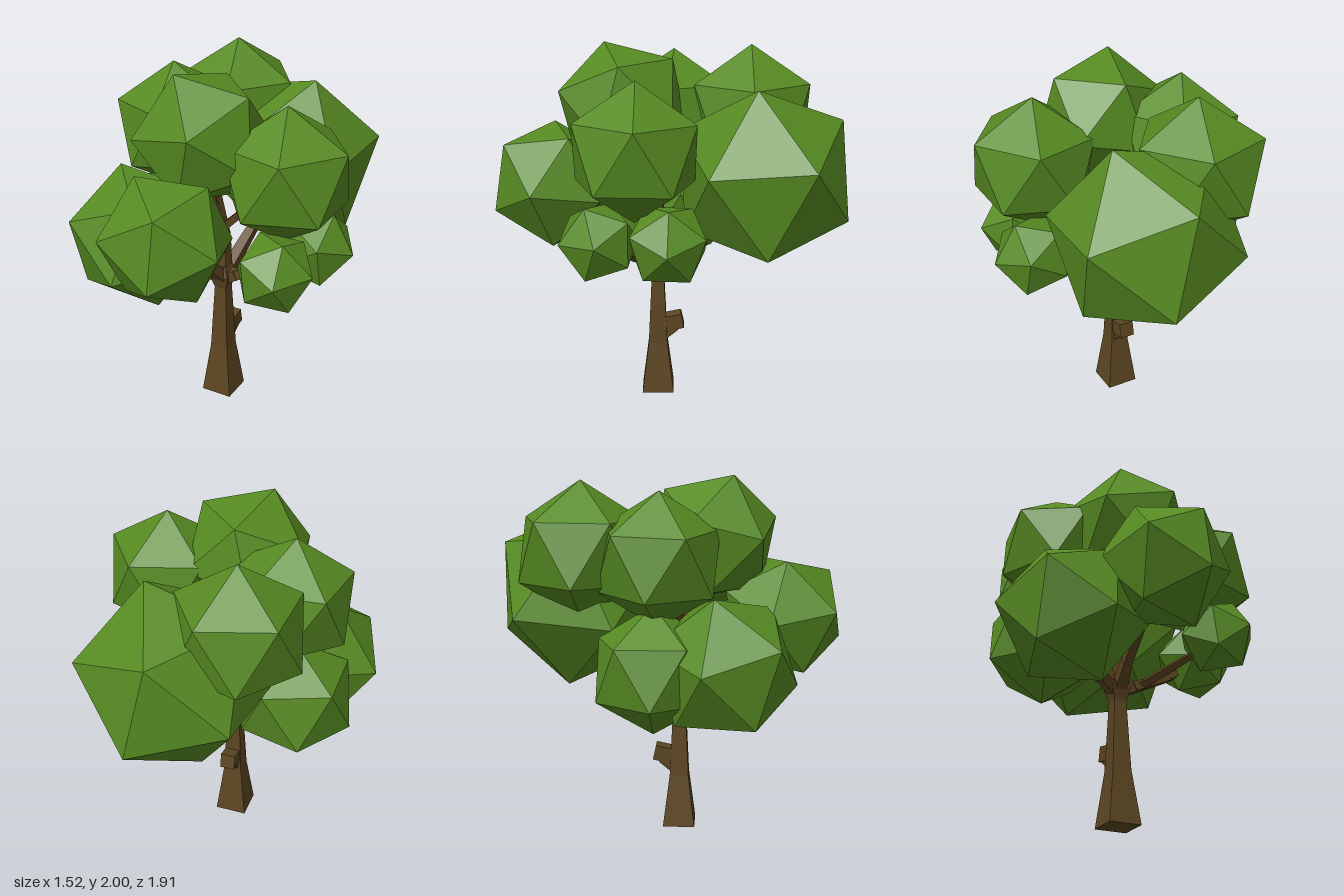
import * as THREE from 'three';

const bark = new THREE.MeshStandardMaterial({ color: 0x5c4521, flatShading: true });
const leaf = new THREE.MeshStandardMaterial({ color: 0x568a22, flatShading: true });
const V = (p) => new THREE.Vector3(...p);

// Frame of a triangle: centroid, mean edge and an orthonormal rotation
function faceFrame(a, b, c) {
  const centre = a.clone().add(b).add(c).divideScalar(3);
  const n = b.clone().sub(a).cross(c.clone().sub(a)).normalize();
  const u = a.clone().sub(centre).normalize();
  const v = n.clone().cross(u);
  const edge = (a.distanceTo(b) + b.distanceTo(c) + c.distanceTo(a)) / 3;
  return { centre, n, edge, rot: new THREE.Matrix4().makeBasis(u, v, n) };
}

const icosa = new THREE.IcosahedronGeometry(1, 0);
const corner = (i) => new THREE.Vector3().fromBufferAttribute(icosa.attributes.position, i);
const unitRot = faceFrame(corner(0), corner(1), corner(2)).rot.transpose();

// Leaf clump: icosahedron laid on one of its faces, given counter-clockwise from outside
function clump(name, a, b, c) {
  const f = faceFrame(V(a), V(b), V(c));
  const r = f.edge / 1.0515;
  const mesh = new THREE.Mesh(icosa, leaf);
  mesh.name = name;
  mesh.quaternion.setFromRotationMatrix(f.rot.multiply(unitRot));
  mesh.position.copy(f.centre).addScaledVector(f.n, -0.7947 * r);
  mesh.scale.setScalar(r);
  return mesh;
}

// Branch: chain of tapered four-sided segments through points [x, y, z, radius]
function branch(name, points) {
  const group = new THREE.Group();
  group.name = name;
  for (let i = 1; i < points.length; i++) {
    const [p, q] = [points[i - 1], points[i]];
    const a = V(p.slice(0, 3)), b = V(q.slice(0, 3));
    const dir = b.clone().sub(a);
    const geo = new THREE.CylinderGeometry(q[3], p[3], dir.length(), 4).rotateY(Math.PI / 4);
    const mesh = new THREE.Mesh(geo, bark);
    mesh.name = name + 'Segment';
    mesh.quaternion.setFromUnitVectors(new THREE.Vector3(0, 1, 0), dir.normalize());
    mesh.position.copy(a).add(b).multiplyScalar(0.5);
    group.add(mesh);
  }
  return group;
}

export function createModel() {
  const tree = new THREE.Group();
  tree.name = 'tree';

  // Square tapering trunk, flaring at the fork
  const profile = [[0, 0], [0.127, 0], [0.075, 0.3], [0.05, 0.69], [0.08, 0.77], [0.05, 0.83], [0, 0.83]];
  const trunk = new THREE.Mesh(
    new THREE.LatheGeometry(profile.map((p) => new THREE.Vector2(...p)), 4, Math.PI / 4), bark);
  trunk.name = 'trunk';
  trunk.position.set(0.01, 0, 0.066);
  tree.add(trunk);

  // Sawn-off stub on the back of the trunk
  tree.add(branch('stub', [[0.01, 0.33, 0.05, 0.045], [0.01, 0.4, -0.02, 0.055]]));
  tree.add(branch('stubEnd', [[0.01, 0.41, 0.02, 0.06], [0.01, 0.43, -0.075, 0.06]]));

  // Limbs from the fork into the leaf clumps
  const limbs = {
    mainLimb: [[0.01, 0.76, 0.066, 0.055], [0.0, 1.0, 0.05, 0.045], [-0.03, 1.25, 0.08, 0.035]],
    topFrontLimb: [[-0.03, 1.22, 0.08, 0.035], [0, 1.6, 0.24, 0.02]],
    topLeftLimb: [[-0.03, 1.2, 0.08, 0.03], [-0.3, 1.5, -0.03, 0.02]],
    topBackLimb: [[-0.03, 1.22, 0.08, 0.03], [-0.17, 1.55, -0.42, 0.02]],
    topRightLimb: [[0, 1.05, 0.055, 0.03], [0.4, 1.45, 0.16, 0.02]],
    backLimb: [[0.01, 0.75, 0.05, 0.05], [0.05, 0.95, -0.22, 0.035], [0.13, 1.25, -0.48, 0.02]],
    rightLimb: [[0.03, 0.76, 0.066, 0.05], [0.1, 0.79, 0.07, 0.04], [0.34, 0.9, 0.05, 0.025], [0.5, 1.03, 0.01, 0.02]],
    rightFrontLimb: [[0.15, 0.81, 0.07, 0.03], [0.46, 1.02, 0.34, 0.02]],
    leftLimb: [[0, 0.75, 0.066, 0.05], [-0.11, 0.8, 0.12, 0.035], [-0.36, 1, 0.3, 0.02]],
    leftBackLimb: [[-0.08, 0.79, 0.1, 0.03], [-0.36, 0.98, -0.04, 0.02]],
    frontLimb: [[0.01, 0.76, 0.08, 0.05], [0, 0.87, 0.2, 0.035], [0.01, 1.2, 0.58, 0.02]],
  };
  for (const [name, points] of Object.entries(limbs)) tree.add(branch(name, points));

  // Leaf clumps
  const clumps = {
    bigBackClump: [[0.30, 1.80, -0.45], [0.58, 1.43, -0.74], [0.11, 1.61, -0.92]],
    topFrontClump: [[-0.106, 1.995, 0.355], [0.106, 1.76, 0.587], [0.264, 1.91, 0.26]],
    topLeftClump: [[-0.344, 1.926, -0.02], [-0.61, 1.725, 0.11], [-0.275, 1.72, 0.30]],
    topBackClump: [[-0.175, 1.97, -0.45], [0.15, 1.765, -0.44], [-0.076, 1.77, -0.766]],
    topRightClump: [[0.434, 1.87, 0.168], [0.54, 1.675, 0.48], [0.762, 1.675, 0.165]],
    frontClump: [[-0.168, 1.55, 0.64], [0.10, 1.47, 0.89], [0.19, 1.524, 0.53]],
    lowLeftFrontClump: [[-0.228, 0.651, 0.376], [-0.30, 0.915, 0.704], [-0.63, 0.757, 0.48]],
    lowLeftBackClump: [[-0.386, 0.656, -0.053], [-0.69, 0.86, -0.05], [-0.477, 0.847, -0.344]],
    lowRightBackClump: [[0.76, 1.05, 0.01], [0.63, 1.12, -0.19], [0.64, 1.25, 0]],
    lowRightFrontClump: [[0.70, 1.07, 0.36], [0.54, 1.24, 0.44], [0.563, 1.07, 0.553]],
  };
  for (const [name, face] of Object.entries(clumps)) tree.add(clump(name, ...face));

  return tree;
}
